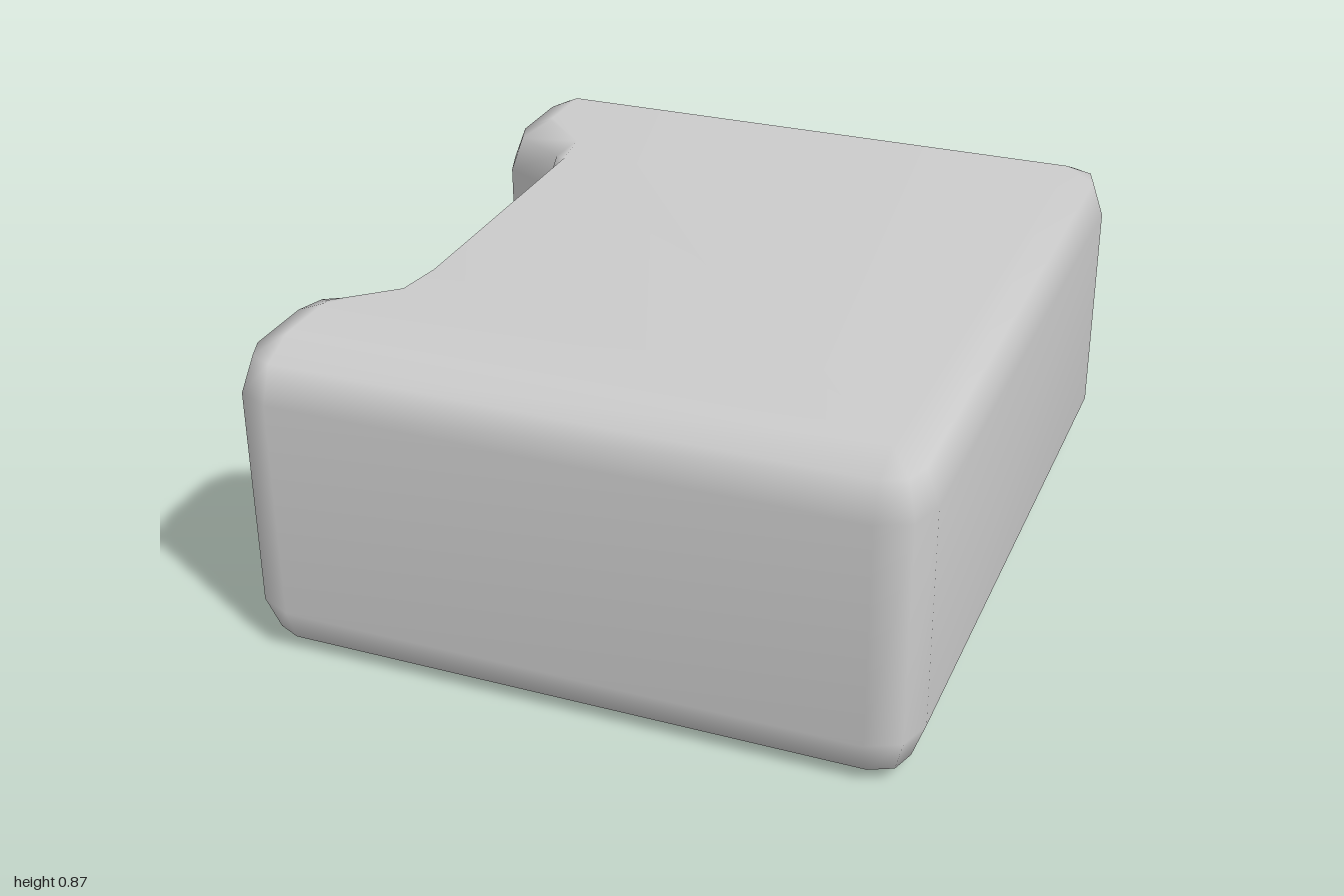
import * as THREE from 'three';
import { mergeVertices } from 'three/addons/utils/BufferGeometryUtils.js';

const HEIGHT = 0.87;

// Half plan (z > 0): [outer x, outer z, cap x, cap z], from the recess round to the far side
const halfPlan = [
  [-0.64, 0.395, -0.59, 0.41], [-0.68, 0.49, -0.61, 0.54],
  [-0.84, 0.57, -0.755, 0.67], [-0.875, 0.665, -0.755, 0.69],
  [-0.875, 0.87, -0.755, 0.87], [-0.84, 0.96, -0.755, 0.87], [-0.755, 1, -0.755, 0.87],
  [0.78, 1, 0.78, 0.87], [0.865, 0.96, 0.78, 0.87], [0.895, 0.87, 0.78, 0.87],
];

// Rings going up: [height, blend from the outer plan to the cap plan]
const rings = [
  [0, 1], [0.04, 0.29], [0.135, 0],
  [HEIGHT - 0.135, 0], [HEIGHT - 0.04, 0.29], [HEIGHT, 1],
];

function bodyGeometry() {
  const mirrored = halfPlan.map(([x, z, cx, cz]) => [x, -z, cx, -cz]).reverse();
  const plan = [...halfPlan, ...mirrored];
  const n = plan.length;
  const positions = [];
  const index = [];

  for (const [y, t] of rings) {
    for (const [x, z, cx, cz] of plan) {
      positions.push(THREE.MathUtils.lerp(x, cx, t), y, THREE.MathUtils.lerp(z, cz, t));
    }
  }
  for (let k = 0; k < rings.length - 1; k++) {
    for (let i = 0; i < n; i++) {
      const j = (i + 1) % n;
      const a = k * n + i, b = k * n + j, c = a + n, d = b + n;
      index.push(a, b, d, a, d, c);
    }
  }

  // Flat caps, skipping the corner points that coincide
  const ids = plan.map((p, i) => i).filter((i) => {
    const p = plan[i], q = plan[(i + n - 1) % n];
    return p[2] !== q[2] || p[3] !== q[3];
  });
  const contour = ids.map((i) => new THREE.Vector2(plan[i][2], -plan[i][3]));
  const top = (rings.length - 1) * n;
  for (const face of THREE.ShapeUtils.triangulateShape(contour, [])) {
    const [a, b, c] = face.map((f) => ids[f]);
    index.push(top + a, top + b, top + c, a, c, b);
  }

  const geometry = new THREE.BufferGeometry();
  geometry.setAttribute('position', new THREE.Float32BufferAttribute(positions, 3));
  geometry.setIndex(index);
  const merged = mergeVertices(geometry);
  merged.computeVertexNormals();
  return merged;
}

// Flat band bowed outwards along its length
function handleGeometry() {
  const geometry = new THREE.BoxGeometry(0.06, 0.24, 1.24, 1, 1, 20);
  const p = geometry.attributes.position;
  for (let i = 0; i < p.count; i++) {
    const bow = 0.045 * (p.getZ(i) / 0.57) ** 2;
    p.setX(i, p.getX(i) - 0.866 + bow);
  }
  geometry.translate(0, 0.45, 0);
  geometry.computeVertexNormals();
  return geometry;
}

export function createModel() {
  const material = new THREE.MeshStandardMaterial({ color: 0xcccccc });
  const model = new THREE.Group();
  model.name = 'case';

  const body = new THREE.Mesh(bodyGeometry(), material);
  body.name = 'body';
  const handle = new THREE.Mesh(handleGeometry(), material);
  handle.name = 'handle';

  model.add(body, handle);
  return model;
}
